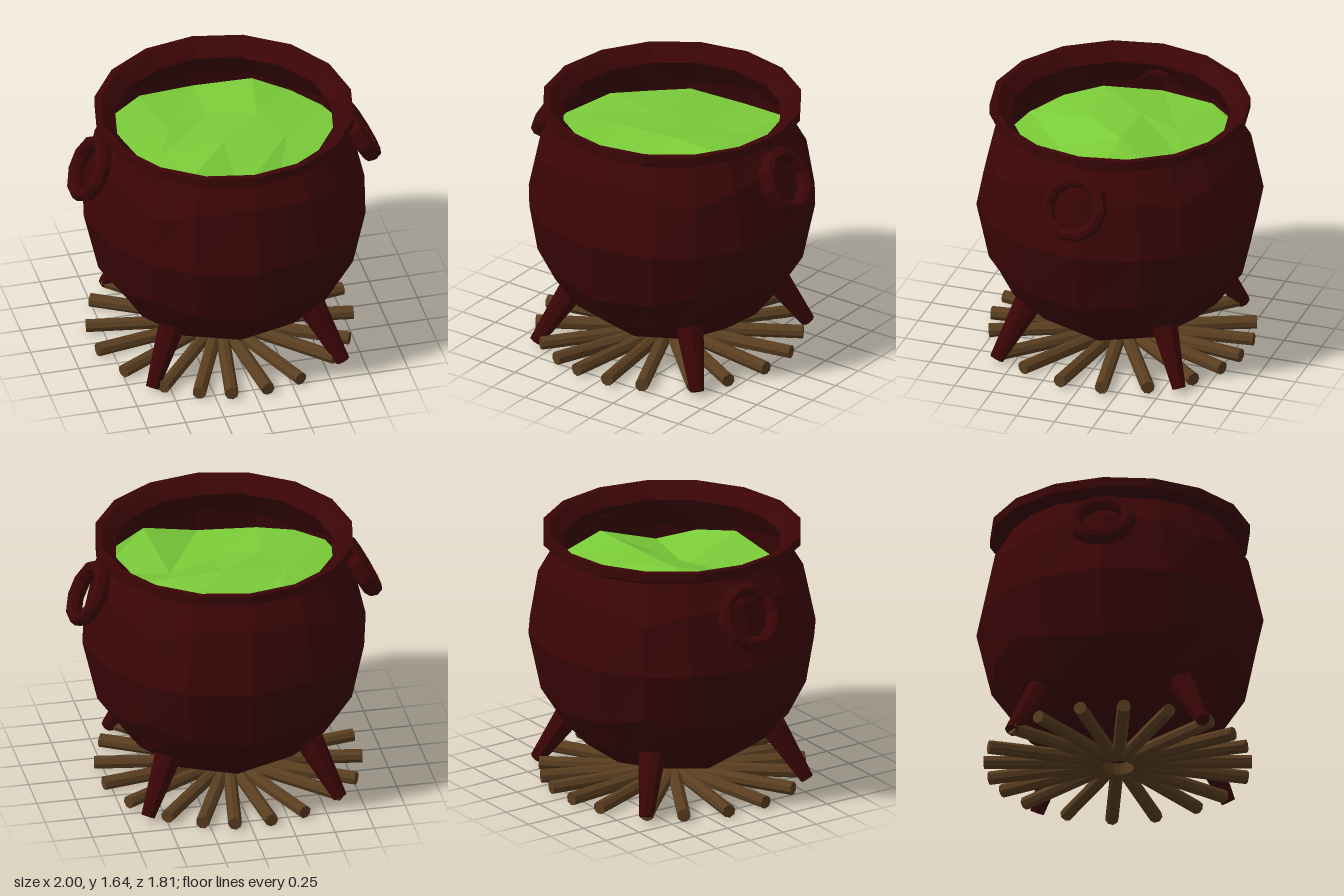
import * as THREE from 'three';

const flat = (color, name, side = THREE.FrontSide) =>
  new THREE.MeshStandardMaterial({ color, name, side, flatShading: true });

export function createModel() {
  const model = new THREE.Group();
  model.name = 'cauldron';
  const iron = flat(0x3b0506, 'dark red iron', THREE.DoubleSide);
  const brew = flat(0x7bcc39, 'green brew', THREE.DoubleSide);
  const wood = flat(0x5a3e20, 'brown wood');

  const add = (name, geometry, material) => {
    const mesh = new THREE.Mesh(geometry, material);
    mesh.name = name;
    model.add(mesh);
    return mesh;
  };

  // Tapered bar between two points
  const bar = (name, a, b, rA, rB, sides, material) => {
    const dir = b.clone().sub(a);
    const mesh = add(name, new THREE.CylinderGeometry(rB, rA, dir.length(), sides), material);
    mesh.position.copy(a).add(b).multiplyScalar(0.5);
    mesh.quaternion.setFromUnitVectors(new THREE.Vector3(0, 1, 0), dir.normalize());
  };

  // Pot: a gridded cube pushed out to a sphere, open at the top
  const R = 0.907, CY = 0.985, MOUTH_R = 0.7, MOUTH_Y = 1.575, BOTTOM = 0.088;
  const pot = new THREE.BoxGeometry(2, 2, 2, 4, 4, 4);
  const top = pot.groups[2];
  const index = Array.from(pot.index.array);
  index.splice(top.start, top.count);
  pot.setIndex(index);
  pot.clearGroups();
  const p = pot.attributes.position;
  const v = new THREE.Vector3();
  for (let i = 0; i < p.count; i++) {
    v.fromBufferAttribute(p, i);
    if (v.y > 0.99) {
      const s = MOUTH_R / Math.max(Math.hypot(v.x, v.z), 0.1);
      v.set(v.x * s, MOUTH_Y, v.z * s);
    } else {
      v.setLength(R);
      v.y = Math.max(CY + v.y * 1.02, BOTTOM);
    }
    p.setXYZ(i, v.x, v.y, v.z);
  }
  pot.computeVertexNormals();
  add('pot', pot, iron);

  // Rim: flared collar around the mouth
  const rim = [[0.69, 1.565], [0.78, 1.565], [0.82, 1.59], [0.82, 1.65], [0.78, 1.65], [0.69, 1.565]];
  add('rim', new THREE.LatheGeometry(rim.map(([x, y]) => new THREE.Vector2(x, y)), 16), iron);

  // Liquid: coarse disc with uneven facets, rows running from back to front
  const waves = [
    [0, 0.01, -0.02, 0.02, 0],
    [0.02, 0.03, 0.01, 0.04, 0],
    [0.01, 0.04, 0.06, 0.05, 0.04],
    [0.02, 0.03, -0.04, -0.05, -0.04],
    [0, -0.03, -0.05, 0.03, 0.01],
  ];
  const liquid = new THREE.PlaneGeometry(2, 2, 4, 4).rotateX(-Math.PI / 2);
  const q = liquid.attributes.position;
  for (let i = 0; i < q.count; i++) {
    const x = q.getX(i), z = q.getZ(i);
    const edge = Math.max(Math.abs(x), Math.abs(z));
    const s = edge ? 0.81 * edge / Math.hypot(x, z) : 0;
    q.setXYZ(i, x * s, 1.31 + 1.3 * waves[Math.floor(i / 5)][i % 5], z * s);
  }
  liquid.computeVertexNormals();
  add('liquid', liquid, brew);

  // Ring handles, leaning out from the shoulders
  for (const side of [1, -1]) {
    const ring = add(side > 0 ? 'leftHandle' : 'rightHandle',
      new THREE.TorusGeometry(0.177, 0.043, 8, 10).scale(1, 1, 1.3).rotateY(Math.PI / 2), iron);
    ring.position.set(side * 0.868, 1.33, 0);
    ring.rotation.z = side * 0.5;
  }

  // Four splayed legs
  for (const x of [1, -1]) for (const z of [1, -1]) {
    bar((z > 0 ? 'front' : 'back') + (x > 0 ? 'Left' : 'Right') + 'Leg',
      new THREE.Vector3(0.615 * x, 0.03, 0.605 * z),
      new THREE.Vector3(0.455 * x, 0.365, 0.455 * z), 0.045, 0.088, 8, iron);
  }

  // Firewood laid out like spokes, in opposite pairs at uneven angles
  for (const degrees of [7, 23, 45, 61, 81, 100, 120, 141, 157, 171]) {
    for (const turn of [0, 180]) {
      const a = THREE.MathUtils.degToRad(degrees + turn);
      const at = (r) => new THREE.Vector3(Math.sin(a) * r - 0.025, 0.048, Math.cos(a) * r - 0.01);
      bar('log', at(0.1), at(0.84), 0.043, 0.043, 8, wood);
    }
  }
  return model;
}
